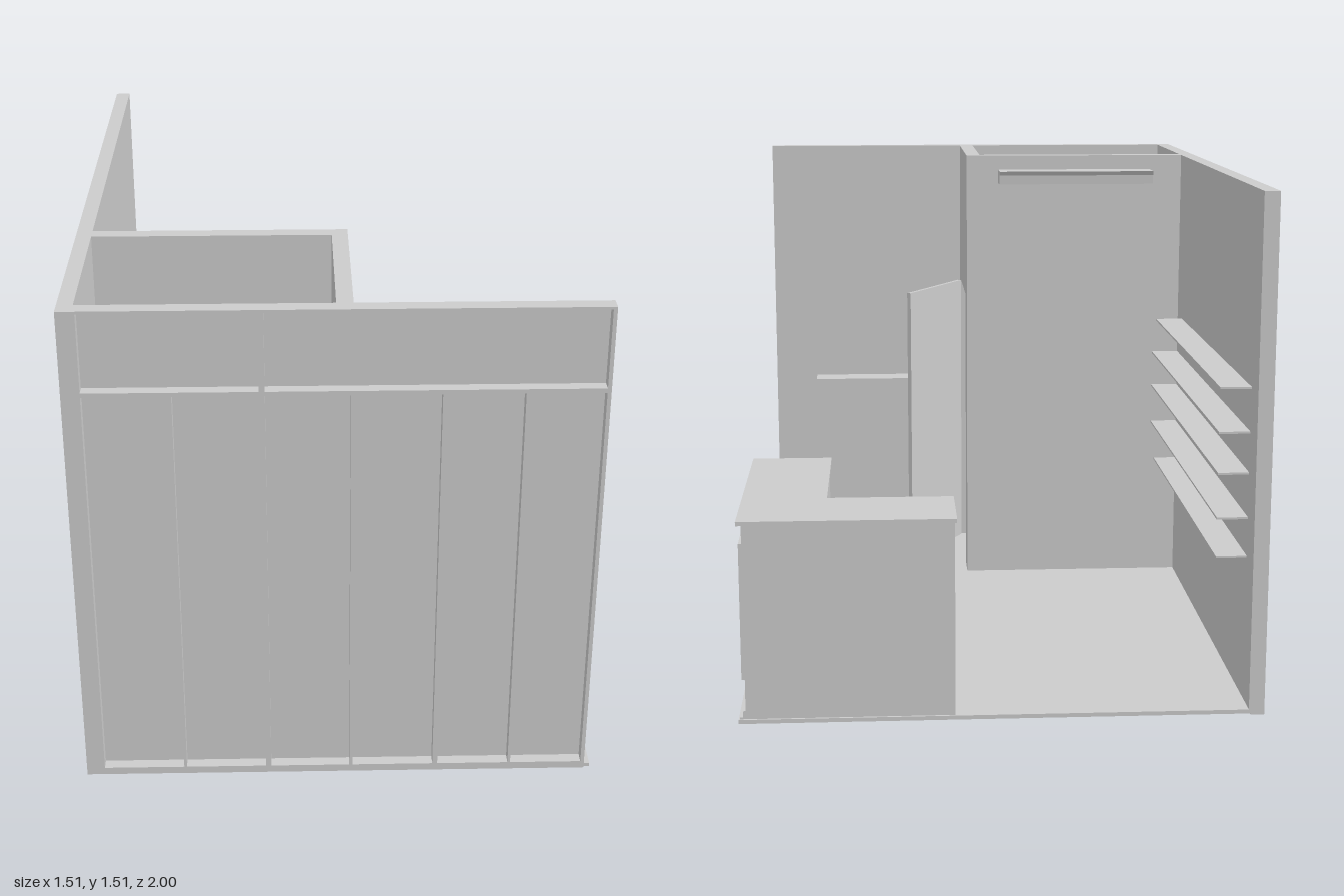
import * as THREE from 'three';

const mat = new THREE.MeshStandardMaterial({ color: 0xcccccc, flatShading: true });

// Box given by its min and max on each axis
function box(parent, name, x0, x1, y0, y1, z0, z1) {
  const m = new THREE.Mesh(new THREE.BoxGeometry(x1 - x0, y1 - y0, z1 - z0), mat);
  m.position.set((x0 + x1) / 2, (y0 + y1) / 2, (z0 + z1) / 2);
  m.name = name;
  parent.add(m);
  return m;
}

function group(parent, name) {
  const g = new THREE.Group();
  g.name = name;
  parent.add(g);
  return g;
}

// Extrude a (z, y) outline along x, from x0 to x1
function prismX(parent, name, shape, x0, x1) {
  const geo = new THREE.ExtrudeGeometry(shape, { depth: x1 - x0, bevelEnabled: false });
  geo.rotateY(-Math.PI / 2); // shape x -> +z, depth -> -x
  geo.translate(x1, 0, 0);
  const m = new THREE.Mesh(geo, mat);
  m.name = name;
  parent.add(m);
  return m;
}

const poly = pts => new THREE.Shape(pts.map(p => new THREE.Vector2(p[0], p[1])));
const rect = (a0, a1, b0, b1) => poly([[a0, b0], [a1, b0], [a1, b1], [a0, b1]]);

// Flat rectangular ring in the z-y plane
function frameX(parent, name, z0, z1, y0, y1, w, x0, x1) {
  const s = rect(z0, z1, y0, y1);
  s.holes.push(rect(z0 + w, z1 - w, y0 + w, y1 - w));
  return prismX(parent, name, s, x0, x1);
}

const H = 1.51, FLOOR = 0.018, RAIL = [1.257, 1.27];

export function createModel() {
  const model = new THREE.Group();
  model.name = 'shopUnit';

  // Floor slab with trapezoid ribs underneath
  const floor = group(model, 'floor');
  box(floor, 'floorSlab', -0.755, 0.753, 0.006, FLOOR, -1, 1);
  for (let i = 0; i < 17; i++) {
    const z = -0.93 + i * 0.11625;
    prismX(floor, 'floorRib', poly([[z - 0.036, 0.007], [z - 0.022, 0], [z + 0.022, 0], [z + 0.036, 0.007]]), -0.75, 0.74);
  }

  // Front wall: thin sheet with studs and rails outside
  const front = group(model, 'frontWall');
  box(front, 'frontSheet', -0.72, 0.737, FLOOR, H, 0.955, 0.965);
  box(front, 'cornerPost', -0.755, -0.702, 0.002, H, 0.955, 1);
  for (const [y0, y1] of [[0.002, 0.025], RAIL, [1.502, H]])
    box(front, 'frontRail', -0.702, 0.737, y0, y1, 0.96, 1);
  for (const [x, w] of [[-0.4605, 0.008], [-0.212, 0.016], [0.035, 0.01], [0.287, 0.015], [0.51, 0.008]])
    box(front, 'frontStud', x - w / 2, x + w / 2, 0.025, RAIL[0], 0.96, 1);
  box(front, 'upperStud', -0.22, -0.204, RAIL[1], 1.502, 0.96, 1);
  box(front, 'endStud', 0.726, 0.737, 0.025, 1.502, 0.96, 1);

  // Side wall: the same framing, eight bays long
  const side = group(model, 'sideWall');
  box(side, 'sideSheet', -0.72, -0.71, FLOOR, H, -1, 0.965);
  for (const [y0, y1] of [[0.002, 0.025], RAIL, [1.502, H]])
    box(side, 'sideRail', -0.755, -0.715, y0, y1, -1, 0.96);
  for (let i = 0; i < 8; i++) {
    const z = Math.max(-0.994, -1 + i * 0.25);
    const top = i % 4 === 0 ? 1.502 : RAIL[0];
    box(side, 'sideStud', -0.755, -0.715, 0.025, top, z - 0.006, z + 0.006);
  }

  // Small open-topped room with a doorway
  const room = group(model, 'backRoom');
  box(room, 'roomRearWall', -0.71, 0.037, FLOOR, H, 0.403, 0.448);
  box(room, 'doorJamb', -0.01, 0.037, FLOOR, H, 0.448, 0.51);
  box(room, 'doorJamb', -0.01, 0.037, FLOOR, H, 0.895, 0.955);
  box(room, 'doorLintel', -0.01, 0.037, 1.013, H, 0.51, 0.895);

  // Door leaf standing ajar on its hinge
  const door = group(model, 'door');
  box(door, 'doorLeaf', 0, 0.014, FLOOR, 1.01, -0.39, 0);
  door.position.set(0.037, 0, 0.891);
  door.rotation.y = -Math.PI / 6;

  // Wall shelves
  const shelves = group(model, 'wallShelves');
  [[0.945, 0.315], [0.815, 0.403], [0.695, 0.403], [0.563, 0.403], [0.448, 0.315]].forEach(([y, z1]) =>
    box(shelves, 'shelf', -0.71, -0.62, y - 0.003, y + 0.003, -0.905, z1));
  box(model, 'frontShelf', 0.19, 0.585, 0.634, 0.64, 0.865, 0.955);

  // Air unit high on the room wall
  prismX(model, 'airUnit', poly([[0.403, 1.415], [0.316, 1.418], [0.314, 1.448], [0.305, 1.462], [0.403, 1.462]]), -0.6, -0.072);

  // L-shaped counter
  const counter = group(model, 'counter');
  const lShape = (name, o, xMax, y0, y1) => {
    const x0 = 0.13 + o, xi = 0.5 + o, b = 1 - o; // outline in x and -z
    const s = poly([[x0, 0.75 + o], [xi, 0.75 + o], [xi, 0.247 + o], [xMax, 0.247 + o], [xMax, b], [x0, b]]);
    const geo = new THREE.ExtrudeGeometry(s, { depth: y1 - y0, bevelEnabled: false });
    geo.rotateX(-Math.PI / 2);
    geo.translate(0, y0, 0);
    const m = new THREE.Mesh(geo, mat);
    m.name = name;
    counter.add(m);
  };
  lShape('counterBody', 0.006, 0.733, FLOOR, 0.59);
  lShape('counterTop', 0, 0.748, 0.588, 0.6);

  // Mouldings on the counter's outer face
  frameX(counter, 'panelFrame', -0.985, -0.262, 0.132, 0.532, 0.022, 0.732, 0.743);
  frameX(counter, 'panelInnerFrame', -0.955, -0.292, 0.162, 0.502, 0.012, 0.732, 0.738);
  box(counter, 'plinth', 0.732, 0.741, FLOOR, 0.042, -0.994, -0.253);
  box(counter, 'plinthFoot', 0.732, 0.75, FLOOR, 0.024, -0.994, -0.253);
  return model;
}
